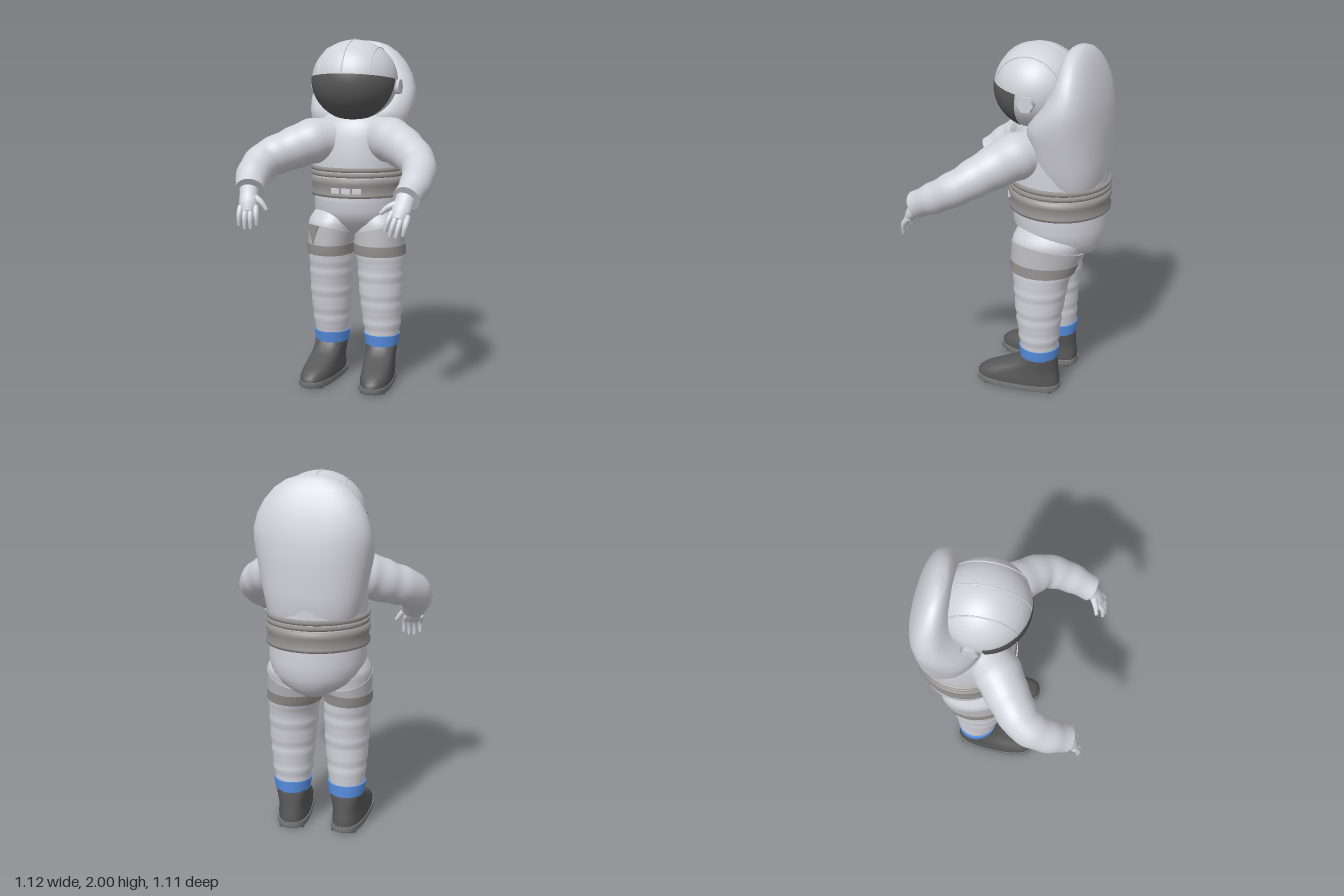
import * as THREE from 'three';

const mat = (name, color, side = THREE.FrontSide) =>
  Object.assign(new THREE.MeshStandardMaterial({ color, side }), { name });
const suit = mat('suit grey', 0xd1d1d9);
const panel = mat('thigh panel grey', 0xbebec2);
const strap = mat('strap grey', 0x949290);
const dark = mat('visor and boot charcoal', 0x585858);
const soleGrey = mat('sole grey', 0x7a7a7a);
const blue = mat('ankle blue', 0x5890e2, THREE.DoubleSide);

const V = (x, y, z) => new THREE.Vector3(x, y, z);
const SIDES = 40;

function add(parent, name, geometry, material) {
  const mesh = new THREE.Mesh(geometry, material);
  mesh.name = name;
  parent.add(mesh);
  return mesh;
}

// Joins rings of points into a closed skin with flat end caps
function skin(rings) {
  const pos = [], idx = [], n = rings[0].length;
  const all = [rings[0], ...rings, rings[rings.length - 1]]; // ends doubled for crisp caps
  all.forEach(r => r.forEach(p => pos.push(p.x, p.y, p.z)));
  for (let i = 1; i < all.length - 2; i++) {
    for (let j = 0; j < n; j++) {
      const k = (j + 1) % n, a = i * n + j, b = i * n + k, c = a + n, d = b + n;
      idx.push(a, c, b, b, c, d);
    }
  }
  [0, all.length - 1].forEach((row, end) => {
    const mid = all[row].reduce((s, p) => s.add(p), V(0, 0, 0)).divideScalar(n);
    const c = pos.push(mid.x, mid.y, mid.z) / 3 - 1;
    for (let j = 0; j < n; j++) {
      const a = row * n + j, b = row * n + (j + 1) % n;
      end ? idx.push(c, b, a) : idx.push(c, a, b);
    }
  });
  const g = new THREE.BufferGeometry();
  g.setAttribute('position', new THREE.Float32BufferAttribute(pos, 3));
  g.setIndex(idx);
  g.computeVertexNormals();
  return g;
}

// Upright loft; rows are [y, centreX, centreZ, radiusX, radiusZ]
function loft(rows, power = 2) {
  const soft = v => Math.sign(v) * Math.abs(v) ** (2 / power);
  return skin(rows.map(([y, cx, cz, rx, rz]) => Array.from({ length: SIDES }, (_, j) => {
    const t = j / SIDES * Math.PI * 2;
    return V(cx + rx * soft(Math.cos(t)), y, cz + rz * soft(Math.sin(t)));
  })));
}

// Rows given as [y, halfWidth, zBack, zFront]
const deepLoft = (rows, power) =>
  loft(rows.map(([y, w, b, f]) => [y, 0, (b + f) / 2, w, (f - b) / 2]), power);

// Row of a key table at height y
function rowAt(keys, y, grow = 0) {
  let i = 0;
  while (i < keys.length - 2 && y > keys[i + 1][0]) i++;
  const t = (y - keys[i][0]) / (keys[i + 1][0] - keys[i][0]);
  const r = keys[i].map((v, k) => THREE.MathUtils.lerp(v, keys[i + 1][k], t));
  return [y, r[1], r[2], r[3] + grow, r[4] + grow];
}

// Round limb along a curve with varying radius and cloth ripples
function sweep(points, radii, steps = 10, ripple = 0, n = 12) {
  const curve = new THREE.CatmullRomCurve3(points);
  const f = curve.computeFrenetFrames(steps);
  const rings = [];
  for (let i = 0; i <= steps; i++) {
    const u = i / steps, s = u * (radii.length - 1), k = Math.min(Math.floor(s), radii.length - 2);
    const r = THREE.MathUtils.lerp(radii[k], radii[k + 1], s - k) + ripple * Math.sin(i * 1.3);
    const c = curve.getPointAt(u);
    rings.push(Array.from({ length: n }, (_, j) => {
      const t = j / n * Math.PI * 2;
      return c.clone().addScaledVector(f.normals[i], r * Math.cos(t))
        .addScaledVector(f.binormals[i], -r * Math.sin(t));
    }));
  }
  return skin(rings);
}

function makeHand(name, wrist, tips, thumbSide) {
  const hand = new THREE.Group();
  hand.name = name;
  hand.position.copy(wrist);
  hand.up.set(0, 0.6, 0.8);
  hand.lookAt(tips);
  const palm = add(hand, 'palm', sweep([V(0, 0, -0.04), V(0, 0, 0.02), V(0, 0, 0.08), V(0, 0, 0.115)],
    [0.056, 0.05, 0.053, 0.035], 8, 0, 16), suit);
  palm.scale.y = 0.68;
  for (let i = 0; i < 4; i++) {
    const x = (i - 1.5) * 0.027, len = i === 0 || i === 3 ? 0.9 : 1;
    add(hand, 'finger', sweep([V(x, 0, 0.08), V(x * 1.15, 0.002, 0.15 * len), V(x * 1.2, -0.025, 0.205 * len)],
      [0.018, 0.016, 0.01], 6, 0, 8), suit);
  }
  add(hand, 'thumb', sweep([V(thumbSide * 0.02, 0, 0.02), V(thumbSide * 0.07, 0, 0.06),
    V(thumbSide * 0.1, -0.015, 0.1)], [0.023, 0.018, 0.011], 6, 0, 8), suit);
  return hand;
}

function makeLeg(name, side, keys, bootX, bootZ, bootYaw) {
  const leg = new THREE.Group();
  leg.name = name;
  const rows = [];
  for (let i = 0; i <= 44; i++) {
    const y = 0.22 + i * 0.0195;
    const fold = 0.002 * Math.sin(i * 1.25) + 0.0018 * Math.sin(i * 2.1 + side);
    rows.push(rowAt(keys, y, y < 0.76 ? fold : 0));
  }
  add(leg, 'trouser', loft(rows), suit);
  const ring = (part, levels, grow, m) =>
    add(leg, part, loft(levels.map(y => rowAt(keys, y, grow))), m).geometry;
  ring('thighStrap', [0.76, 0.79, 0.82], 0.009, strap);
  ring('ankleBand', [0.215, 0.25, 0.28], 0.007, blue);

  // Thigh panel, its upper edge sloping down to the back and inside
  const p = ring('thighPanel', [0.81, 0.84, 0.87, 0.9], 0.004, panel).attributes.position;
  for (let i = 0; i < p.count; i++) {
    const rise = (p.getX(i) - keys[4][1]) / 0.15 * side + (p.getZ(i) - keys[4][2]) / 0.2;
    p.setY(i, p.getY(i) + 0.03 * rise * (p.getY(i) - 0.81) / 0.09);
  }

  // Boot with sole and tread bars
  const boot = new THREE.Group();
  boot.name = 'boot';
  boot.position.set(bootX, 0, bootZ);
  boot.rotation.y = bootYaw;
  add(boot, 'bootUpper', deepLoft([[0.035, 0.091, -0.122, 0.362], [0.065, 0.092, -0.122, 0.362],
    [0.09, 0.089, -0.118, 0.335], [0.11, 0.087, -0.115, 0.295], [0.135, 0.086, -0.112, 0.235],
    [0.16, 0.087, -0.11, 0.17], [0.19, 0.09, -0.107, 0.12], [0.22, 0.093, -0.103, 0.1]], 2.5), dark);
  add(boot, 'sole', deepLoft([[0.006, 0.092, -0.122, 0.355], [0.016, 0.096, -0.127, 0.366],
    [0.04, 0.095, -0.126, 0.367]], 2.8), soleGrey);
  add(boot, 'treadPlate', deepLoft([[0.003, 0.085, -0.115, 0.345], [0.008, 0.088, -0.118, 0.35]], 2.8), dark);
  [-0.08, -0.03, 0.19, 0.25, 0.3].forEach(z =>
    add(boot, 'treadBar', new THREE.BoxGeometry(0.14, 0.008, 0.03), dark).position.set(0, 0.004, z));
  leg.add(boot);
  return leg;
}

export function createModel() {
  const model = new THREE.Group();
  model.name = 'spacesuit';

  // Torso, pelvis, pack and belts share a frame turned slightly to the right
  const body = new THREE.Group();
  body.name = 'body';
  body.position.set(0.1, 0, -0.28);
  body.rotation.y = -0.26;
  model.add(body);
  add(body, 'torso', deepLoft([[1.08, 0.258, -0.258, 0.258], [1.3, 0.264, -0.262, 0.262],
    [1.44, 0.264, -0.26, 0.255], [1.52, 0.25, -0.25, 0.225], [1.57, 0.22, -0.23, 0.18],
    [1.62, 0.15, -0.2, 0.1]], 2.1), suit);
  add(body, 'pelvis', deepLoft([[0.83, 0.07, -0.16, 0], [0.86, 0.13, -0.21, 0.08], [0.9, 0.2, -0.24, 0.16],
    [0.95, 0.245, -0.26, 0.222], [1.02, 0.264, -0.267, 0.255], [1.12, 0.262, -0.262, 0.258]]), suit);
  add(body, 'backpack', deepLoft([[1.24, 0.22, -0.238, 0.05], [1.3, 0.25, -0.26, 0.09],
    [1.4, 0.274, -0.266, 0.13], [1.55, 0.304, -0.264, 0.155], [1.6, 0.313, -0.261, 0.14],
    [1.66, 0.317, -0.255, 0.1], [1.72, 0.312, -0.246, 0.045], [1.8, 0.288, -0.227, 0.0],
    [1.87, 0.25, -0.202, -0.02], [1.93, 0.198, -0.175, -0.032], [1.97, 0.138, -0.148, -0.045],
    [1.988, 0.08, -0.125, -0.06], [1.995, 0.02, -0.105, -0.085]], 2.35), suit);
  const belt = (name, pts) => add(body, name,
    new THREE.LatheGeometry(pts.map(p => new THREE.Vector2(...p)), 48), strap);
  belt('lowerBelt', [[0.25, 1.1], [0.279, 1.104], [0.281, 1.12], [0.273, 1.13], [0.275, 1.17],
    [0.282, 1.18], [0.28, 1.208], [0.25, 1.213]]);
  [1.232, 1.262].forEach(y => belt('upperBelt',
    [[0.25, y - 0.013], [0.276, y - 0.012], [0.281, y], [0.276, y + 0.012], [0.25, y + 0.013]]));
  for (let i = -1; i <= 1; i++) {
    const a = 0.07 + i * 0.22;
    const b = add(body, 'buckle', new THREE.BoxGeometry(0.052, 0.03, 0.02), suit);
    b.position.set(Math.sin(a) * 0.277, 1.145, Math.cos(a) * 0.277);
    b.rotation.y = a;
  }

  // Helmet
  const helmet = new THREE.Group();
  helmet.name = 'helmet';
  helmet.position.set(0.085, 1.768, -0.155);
  helmet.rotation.y = -0.26;
  helmet.scale.set(0.246, 0.228, 0.236);
  model.add(helmet);
  add(helmet, 'helmetShell', new THREE.SphereGeometry(1, 48, 32), suit);
  const visor = add(helmet, 'visor',
    new THREE.SphereGeometry(1.015, 48, 24, 0.12, Math.PI - 0.24, 1.55, 1.57), dark);
  visor.rotation.x = -0.15;
  [-0.6, 0, 0.6].forEach(x => {
    const rib = add(helmet, 'helmetRib',
      new THREE.TorusGeometry(Math.sqrt(1 - x * x), 0.018, 8, 40, Math.PI * 0.85), suit);
    rib.position.x = x;
    rib.rotation.set(0, -Math.PI / 2, 0);
    rib.rotateZ(0.16);
  });
  [-1, 1].forEach(s => {
    const ear = add(helmet, 'earPiece', new THREE.CylinderGeometry(0.2, 0.2, 0.14, 6).toNonIndexed(), suit);
    ear.rotation.z = Math.PI / 2;
    ear.position.set(s * 1.0, -0.16, -0.14);
  });

  // Arms and hands
  add(model, 'leftArm', sweep([V(0.19, 1.44, -0.18), V(0.29, 1.435, -0.07), V(0.39, 1.385, 0.06),
    V(0.46, 1.32, 0.19), V(0.45, 1.24, 0.33), V(0.403, 1.17, 0.45)],
  [0.12, 0.127, 0.112, 0.096, 0.086, 0.072], 30, 0.0025, 28), suit);
  add(model, 'rightArm', sweep([V(-0.03, 1.43, -0.19), V(-0.14, 1.425, -0.125), V(-0.28, 1.375, -0.07),
    V(-0.41, 1.32, 0.0), V(-0.46, 1.25, 0.11), V(-0.46, 1.175, 0.22)],
  [0.12, 0.13, 0.118, 0.106, 0.096, 0.08], 30, 0.0025, 28), suit);
  model.add(makeHand('leftHand', V(0.395, 1.16, 0.45), V(0.335, 0.99, 0.56), -1));
  model.add(makeHand('rightHand', V(-0.465, 1.165, 0.225), V(-0.46, 0.985, 0.32), 1));

  // Legs: key rows are [y, centreX, centreZ, radiusX, radiusZ]
  model.add(makeLeg('leftLeg', 1, [[0.2, 0.248, -0.195, 0.09, 0.1], [0.35, 0.246, -0.193, 0.112, 0.115],
    [0.5, 0.242, -0.19, 0.127, 0.132], [0.7, 0.238, -0.2, 0.139, 0.157], [0.8, 0.228, -0.215, 0.146, 0.182],
    [0.95, 0.232, -0.24, 0.148, 0.2], [1.08, 0.2, -0.25, 0.11, 0.15]], 0.247, -0.195, -0.12));
  model.add(makeLeg('rightLeg', -1, [[0.2, -0.055, -0.268, 0.092, 0.1], [0.35, -0.057, -0.255, 0.108, 0.12],
    [0.5, -0.058, -0.242, 0.122, 0.138], [0.7, -0.058, -0.234, 0.13, 0.168], [0.8, -0.064, -0.236, 0.127, 0.188],
    [0.95, -0.05, -0.25, 0.143, 0.2], [1.08, 0, -0.27, 0.11, 0.15]], -0.06, -0.265, -0.3));

  // Small patch on the right thigh
  const tri = new THREE.Shape([[-0.05, 0.05], [0, -0.065], [0.05, 0.05]].map(p => new THREE.Vector2(...p)));
  const patch = add(model, 'thighPatch',
    new THREE.ExtrudeGeometry(tri, { depth: 0.009, bevelEnabled: false }), strap);
  patch.position.set(-0.148, 0.885, -0.1);
  patch.rotation.y = -0.78;
  return model;
}
